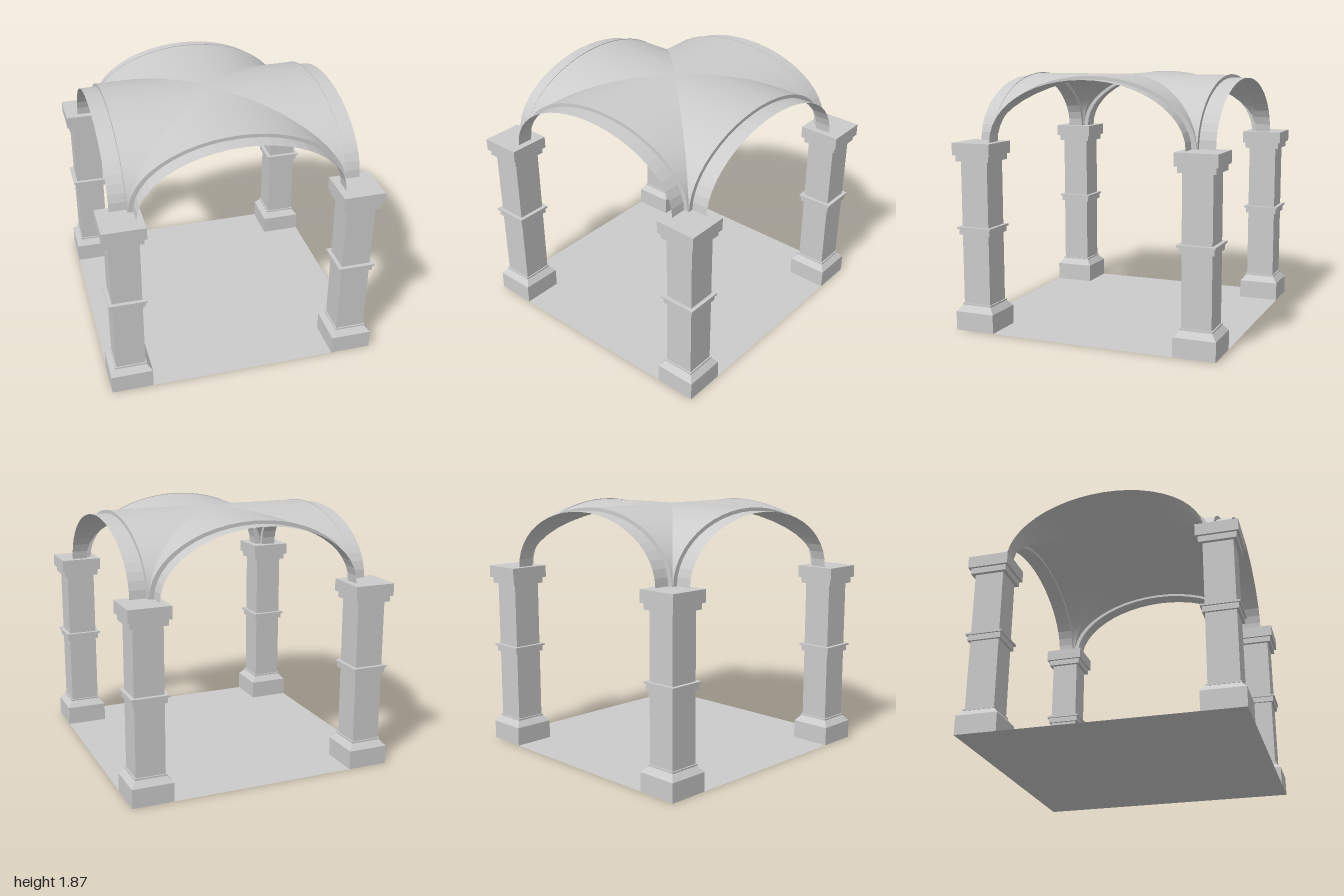
import * as THREE from 'three';

const SPRING = 1.39, SEGMENTS = 24;
const EDGE = 0.785, BAND_EDGE = 0.905;
const VAULT = { a: 0.78, h: 0.478 }, BAND = { a: 0.745, h: 0.458 };

const solid = new THREE.MeshStandardMaterial({ color: 0xcccccc, flatShading: true });
const sheetFlat = new THREE.MeshStandardMaterial({ color: 0xcccccc, flatShading: true, side: THREE.DoubleSide });
const sheetSmooth = new THREE.MeshStandardMaterial({ color: 0xcccccc, side: THREE.DoubleSide });

// Point on a half-ellipse arch, t from 0 (+x foot) to 1 (-x foot)
function archPoint({ a, h }, t) {
  const angle = Math.PI * t;
  return [a * Math.cos(angle), SPRING + h * Math.sin(angle)];
}

// Strip between two curves, each a function of t returning [x, y, z]
function strip(from, to) {
  const positions = [], index = [];
  for (let i = 0; i <= SEGMENTS; i++) {
    const t = i / SEGMENTS;
    positions.push(...from(t), ...to(t));
    if (i < SEGMENTS) {
      const k = 2 * i;
      index.push(k, k + 1, k + 2, k + 1, k + 3, k + 2);
    }
  }
  const geometry = new THREE.BufferGeometry();
  geometry.setAttribute('position', new THREE.Float32BufferAttribute(positions, 3));
  geometry.setIndex(index);
  geometry.computeVertexNormals();
  return geometry;
}

function mesh(name, geometry, material) {
  const m = new THREE.Mesh(geometry, material);
  m.name = name;
  return m;
}

// Square pillar: [half width, height] steps from plinth to capital
function pillarGeometry() {
  const profile = [
    [0.153, 0], [0.153, 0.14], [0.115, 0.185], [0.118, 0.185], [0.118, 0.197],
    [0.108, 0.197], [0.108, 0.715], [0.125, 0.715], [0.125, 0.757], [0.137, 0.757],
    [0.137, 0.772], [0.108, 0.772], [0.108, 1.255], [0.135, 1.255], [0.135, 1.3],
    [0.153, 1.3], [0.153, SPRING], [0, SPRING],
  ].map(([w, y]) => new THREE.Vector2(w * Math.SQRT2, y));
  return new THREE.LatheGeometry(profile, 4, Math.PI / 4);
}

export function createModel() {
  const model = new THREE.Group();
  model.name = 'vaultedPavilion';

  // Floor
  const floor = mesh('floor', new THREE.PlaneGeometry(2, 2), sheetFlat);
  floor.rotation.x = -Math.PI / 2;
  model.add(floor);

  // Four corner pillars
  const pillar = pillarGeometry();
  for (const x of [-1, 1]) for (const z of [-1, 1]) {
    const p = mesh('pillar', pillar, solid);
    p.position.set(x * 0.847, 0, z * 0.847);
    model.add(p);
  }

  // One quarter of the groin vault, with its edge step and projecting arch band
  const at = (arch, z) => t => [...archPoint(arch, t), z];
  const groin = t => {
    const [x, y] = archPoint(VAULT, t);
    return [x, y, Math.abs(x)];
  };
  const web = strip(at(VAULT, EDGE), groin);
  const step = strip(at(BAND, EDGE), at({ a: 0.78, h: 0.483 }, EDGE));
  const band = strip(at(BAND, BAND_EDGE), at(BAND, EDGE));
  for (let i = 0; i < 4; i++) {
    const side = new THREE.Group();
    side.name = 'vaultQuarter';
    side.rotation.y = i * Math.PI / 2;
    side.add(
      mesh('vaultWeb', web, sheetSmooth),
      mesh('archStep', step, sheetFlat),
      mesh('archBand', band, sheetFlat),
    );
    model.add(side);
  }
  return model;
}
